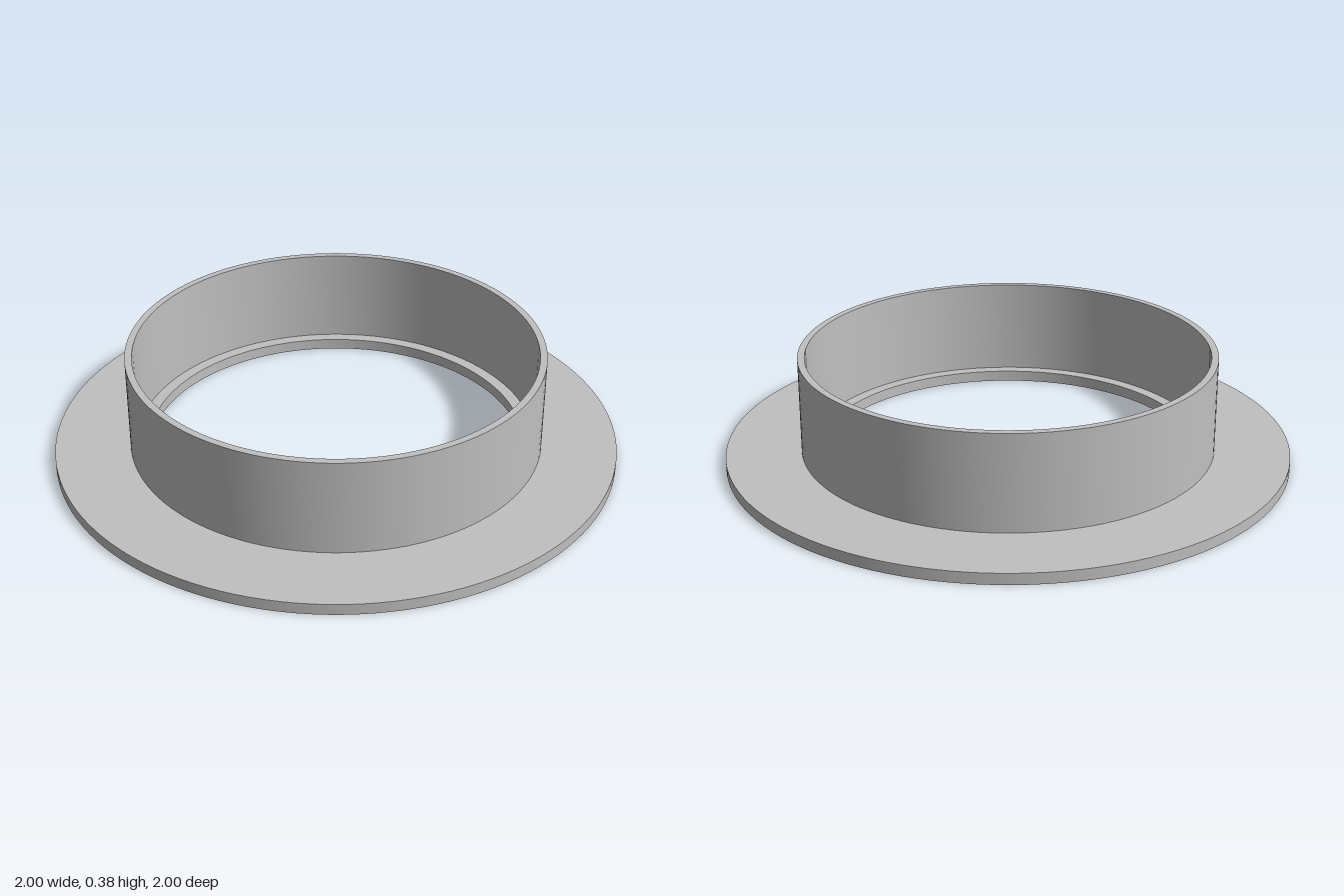
import * as THREE from 'three';
import { toCreasedNormals } from 'three/addons/utils/BufferGeometryUtils.js';

const HOLE = 0.667, COLLAR_IN = 0.71, COLLAR_OUT = 0.735, RIM = 1;
const FLANGE_TOP = 0.04, HEIGHT = 0.385;

// Revolve a cross-section (radius, height), keeping its corners sharp
function turned(name, profile, material) {
  const points = profile.map(([r, y]) => new THREE.Vector2(r, y));
  const geometry = toCreasedNormals(new THREE.LatheGeometry(points, 128), 0.5);
  const mesh = new THREE.Mesh(geometry, material);
  mesh.name = name;
  return mesh;
}

export function createModel() {
  const grey = new THREE.MeshStandardMaterial({ color: 0xc0c0c0 });
  grey.name = 'light grey';

  const group = new THREE.Group();
  group.name = 'flangedCollar';

  // Flat ring, open only where the collar wall joins it
  group.add(turned('flange', [
    [COLLAR_IN, FLANGE_TOP], [HOLE, FLANGE_TOP], [HOLE, 0],
    [RIM, 0], [RIM, FLANGE_TOP], [COLLAR_OUT, FLANGE_TOP],
  ], grey));

  // Thin upright wall, set back from the hole to leave an inner ledge
  group.add(turned('collar', [
    [COLLAR_OUT, FLANGE_TOP], [COLLAR_OUT, HEIGHT],
    [COLLAR_IN, HEIGHT], [COLLAR_IN, FLANGE_TOP],
  ], grey));

  return group;
}
